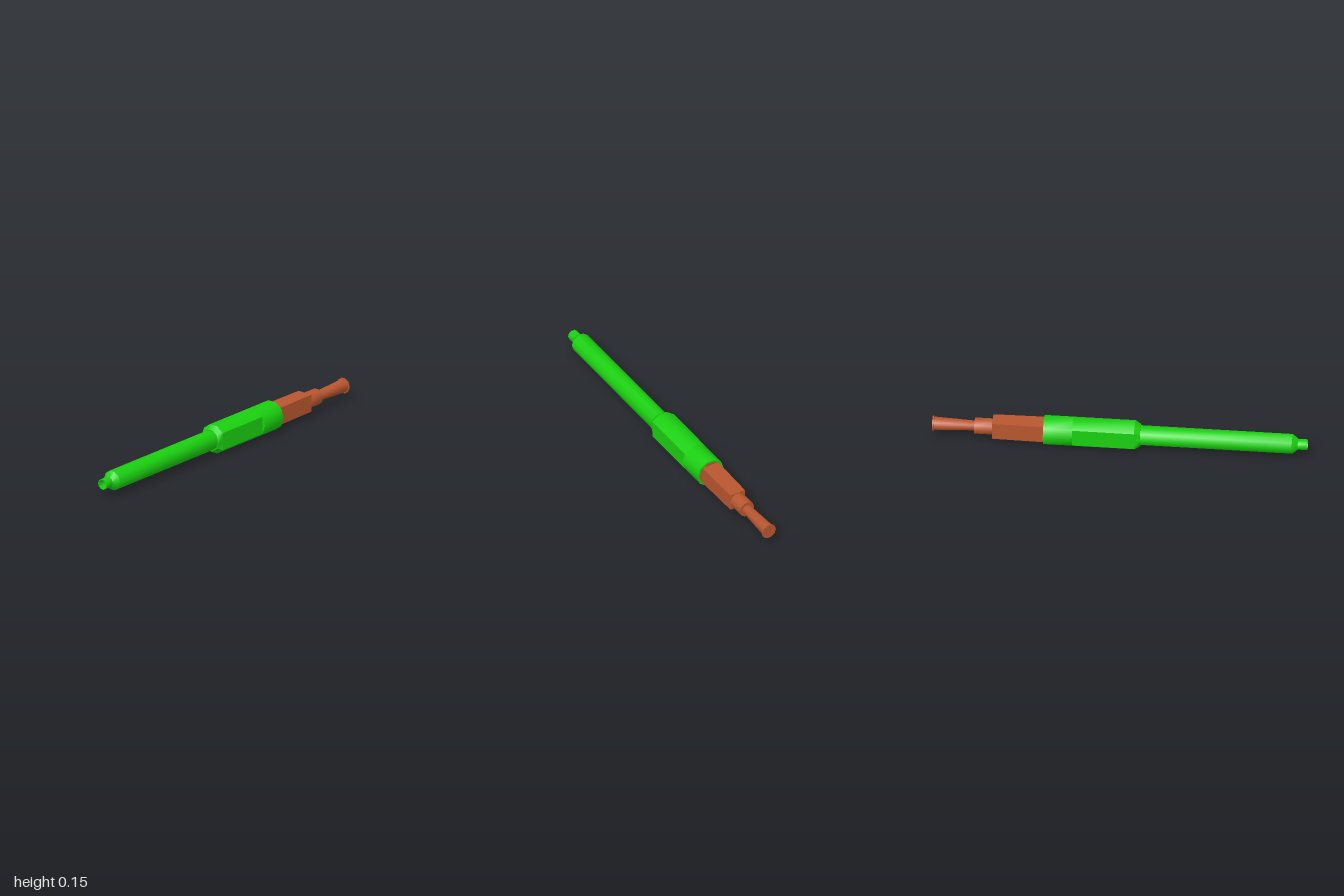
import * as THREE from 'three';
import { mergeGeometries, toCreasedNormals } from 'three/addons/utils/BufferGeometryUtils.js';

const SIDES = 10;
const GREEN = new THREE.MeshStandardMaterial({ color: 0x1ad010 });
const BROWN = new THREE.MeshStandardMaterial({ color: 0xb8562f });
const PURPLE = new THREE.MeshStandardMaterial({ color: 0xd010d0 });

// Ten-sided turned part along z from [radius, z] points, with a sharp edge at every point.
// flat: optional half width, planing the two sides off.
function turned(points, flat) {
  const sections = [];
  for (let i = 0; i < points.length - 1; i++) {
    const pair = [points[i], points[i + 1]].map(([r, z]) => new THREE.Vector2(r, z));
    let g = new THREE.LatheGeometry(pair, SIDES, Math.PI / 2);
    g.rotateX(Math.PI / 2);
    if (flat) {
      const p = g.attributes.position;
      for (let k = 0; k < p.count; k++) p.setX(k, THREE.MathUtils.clamp(p.getX(k), -flat, flat));
    }
    g = toCreasedNormals(g, 0.65);
    sections.push(g);
  }
  return mergeGeometries(sections);
}

export function createModel() {
  const model = new THREE.Group();
  const add = (name, geometry, material) => {
    const mesh = new THREE.Mesh(geometry, material);
    mesh.name = name;
    mesh.position.y = 0.077;
    model.add(mesh);
  };

  // Collar with an open socket at the back
  add('rearCollar', turned([[0.07, -0.3], [0.07, -0.405], [0.081, -0.405], [0.081, -0.25], [0.05, -0.25]]), GREEN);

  // Grip with two planed sides and a chamfered front
  add('flattedGrip', turned([[0.081, -0.25], [0.081, 0.08], [0.061, 0.11], [0.055, 0.11]], 0.0655), GREEN);

  // Long barrel, stepped nose and hollow tip
  add('barrel', turned([
    [0.055, 0.1], [0.055, 0.92], [0.03, 0.95], [0.03, 1], [0.025, 1], [0.025, 0.88],
  ]), GREEN);

  // Sleeve and pin inside the bore
  add('innerSleeve', turned([[0.025, 0.1], [0.025, 0.9], [0.007, 0.9], [0.007, 0.86]]), PURPLE);
  add('innerPin', turned([[0.007, 0.1], [0.007, 0.88], [0, 0.88]]), BROWN);

  // Plug seated in the collar
  add('plug', turned([[0, -0.4], [0.07, -0.4], [0.07, -0.3]]), BROWN);

  // Square shank, slightly narrower towards the back
  const shank = new THREE.BoxGeometry(0.1, 0.096, 0.28);
  const p = shank.attributes.position;
  for (let i = 0; i < p.count; i++) if (p.getZ(i) < 0) p.setX(i, p.getX(i) * 0.9);
  shank.translate(0, 0, -0.54);
  shank.computeVertexNormals();
  add('squareShank', shank, BROWN);

  // Round neck, flared stem and thin end flange
  add('neck', turned([[0, -0.775], [0.045, -0.775], [0.045, -0.67]]), BROWN);
  add('flaredStem', turned([[0.037, -0.995], [0.027, -0.77]]), BROWN);
  add('endFlange', turned([[0, -1], [0.043, -1], [0.043, -0.993], [0.03, -0.993]]), BROWN);

  return model;
}
